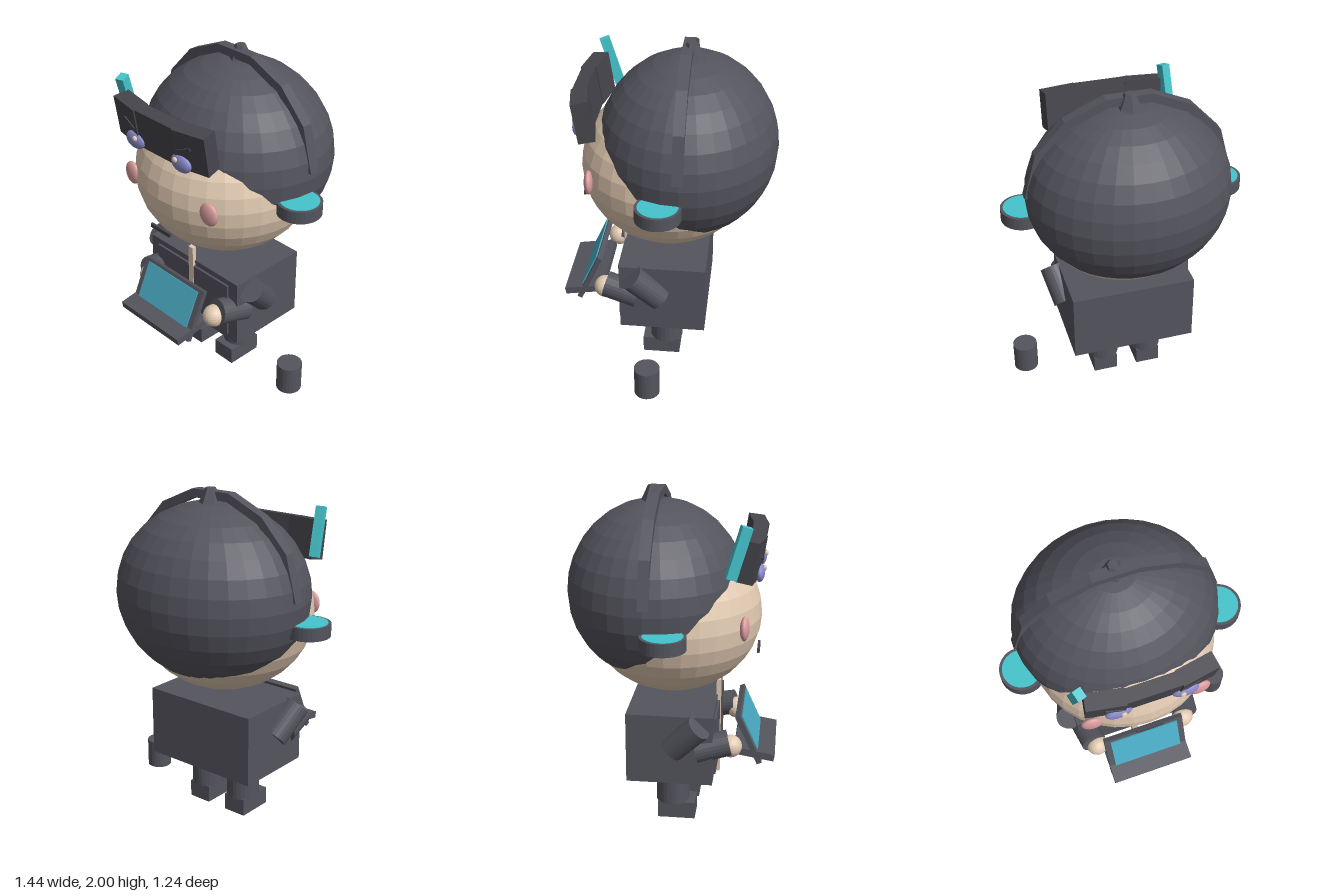
import * as THREE from 'three';

function material(name, color, flat = true) {
  const m = new THREE.MeshStandardMaterial({ color, flatShading: flat });
  m.name = name;
  return m;
}

export function createModel() {
  const root = new THREE.Group();
  root.name = 'figure';
  const dark = material('charcoal', 0x54545e);
  const visorDark = material('deep charcoal', 0x45454c);
  const skin = material('skin', 0xe2cab2);
  const pink = material('blush pink', 0xdc9e9f, false);
  const purple = material('eye violet', 0x8a8acb, false);
  const teal = material('teal', 0x45c4cc);
  const screenBlue = material('screen blue', 0x4aaac2);

  const add = (name, geo, mat, pos = [0, 0, 0], rot = [0, 0, 0], parent = root) => {
    const mesh = new THREE.Mesh(geo, mat);
    mesh.name = name;
    mesh.position.set(...pos);
    mesh.rotation.set(...rot);
    parent.add(mesh);
    return mesh;
  };
  const box = (x, y, z) => new THREE.BoxGeometry(x, y, z);
  const ball = (rx, ry, rz, w = 32, h = 16) => new THREE.SphereGeometry(1, w, h).scale(rx, ry, rz);
  // Cylinder spanning two points
  const rod = (name, a, b, r, mat) => {
    const p = new THREE.Vector3(...a), q = new THREE.Vector3(...b);
    const mesh = add(name, new THREE.CylinderGeometry(r, r, p.distanceTo(q), 24), mat);
    mesh.position.copy(p).add(q).multiplyScalar(0.5);
    mesh.quaternion.setFromUnitVectors(new THREE.Vector3(0, 1, 0), q.sub(p).normalize());
    return mesh;
  };
  const bothSides = (fn) => [-1, 1].forEach(fn);

  // Head and hair
  add('face', ball(0.535, 0.465, 0.515), skin, [0, 1.265, 0]);
  add('hair', ball(0.592, 0.522, 0.518), dark, [0, 1.4, -0.102]);
  add('mouth', box(0.16, 0.024, 0.015), visorDark, [0, 1.058, 0.502]);

  // Faceted headband over the crown
  const outer = [[0.6, 1.44], [0.53, 1.7], [0.36, 1.88], [0.13, 1.98]];
  const inner = outer.map(([x, y]) => [x * 0.92, 1.37 + (y - 1.37) * 0.92]);
  const mirror = (pts) => [...pts].reverse().map(([x, y]) => [-x, y]);
  const loop = [...outer, ...mirror(outer), ...inner.map(([x, y]) => [-x, y]), ...mirror(inner).map(([x, y]) => [-x, y])];
  // Outer arc runs right to left, inner arc returns left to right
  const bandShape = new THREE.Shape(loop.map(([x, y]) => new THREE.Vector2(x, y)));
  add('headband', new THREE.ExtrudeGeometry(bandShape, { depth: 0.062, bevelEnabled: false }), dark, [0, 0, -0.127]);
  add('crownStud', new THREE.CylinderGeometry(0.03, 0.08, 0.11, 6), dark, [0, 1.945, -0.12]);

  bothSides((s) => {
    // Ear pods: dark rim with teal faces
    add('earRim', new THREE.CylinderGeometry(0.128, 0.128, 0.074, 32), dark, [s * 0.592, 1.268, 0.008]);
    add('earFace', new THREE.CylinderGeometry(0.112, 0.112, 0.08, 32), teal, [s * 0.592, 1.268, 0.008]);
    add('cheek', ball(0.062, 0.07, 0.026, 24, 12), pink, [s * 0.32, 1.273, 0.43], [0, s * 0.1, 0]);
    add('eye', ball(0.075, 0.052, 0.028, 24, 12), purple, [s * 0.187, 1.562, 0.5]);
    add('eyeGlint', ball(0.017, 0.017, 0.012, 12, 8), skin, [s * 0.165, 1.583, 0.525]);
  });

  // Raised visor, tipped forward, with swept side panels
  const visor = new THREE.Group();
  visor.name = 'visor';
  visor.position.set(0, 1.652, 0.467);
  visor.rotation.x = 0.15;
  root.add(visor);
  add('visorCentre', box(0.33, 0.235, 0.08), visorDark, [0, 0, 0.005], [0, 0, 0], visor);
  bothSides((s) => {
    add('visorSide', box(0.215, 0.235, 0.095), visorDark, [s * 0.25, 0, -0.012], [0, s * 0.17, 0], visor);
    add('brow', box(0.1, 0.018, 0.012), visorDark, [s * 0.22, 0.01, 0.042], [0, s * 0.17, s * 0.35], visor);
  });
  add('visorFin', box(0.05, 0.295, 0.06), teal, [-0.378, 1.715, 0.39], [0.3, 0.28, -0.06]);

  // Torso
  add('torso', box(0.75, 0.425, 0.505), dark, [0, 0.5325, 0.013]);
  add('chestPanel', box(0.61, 0.35, 0.03), dark, [0, 0.535, 0.265]);
  add('zipper', box(0.038, 0.605, 0.026), skin, [0, 0.537, 0.271]);

  bothSides((s) => {
    // Arms and hands
    rod('upperArm', [s * 0.405, 0.7, 0.19], [s * 0.36, 0.535, 0.03], 0.077, dark);
    rod('forearm', [s * 0.33, 0.52, 0.16], [s * 0.302, 0.567, 0.355], 0.077, dark);
    add('hand', ball(0.066, 0.066, 0.066, 24, 14), skin, [s * 0.285, 0.537, 0.365]);
    // Legs and feet
    add('leg', new THREE.CylinderGeometry(0.1, 0.1, 0.215, 24), dark, [s * 0.14, 0.208, 0.01]);
    add('foot', box(0.148, 0.105, 0.225), dark, [s * 0.14, 0.0525, 0.037]);
  });

  // Open laptop held in front
  add('laptopBase', box(0.505, 0.042, 0.24), dark, [0, 0.475, 0.5], [0.16, 0, 0]);
  const lid = new THREE.Group();
  lid.name = 'laptopLid';
  lid.position.set(0, 0.562, 0.466);
  lid.rotation.x = -0.43;
  root.add(lid);
  add('lidPanel', box(0.505, 0.32, 0.03), dark, [0, 0, 0], [0, 0, 0], lid);
  add('screen', box(0.43, 0.23, 0.009), screenBlue, [0, 0.025, 0.018], [0, 0, 0], lid);

  // Loose cylinder beside the figure
  add('canister', new THREE.CylinderGeometry(0.075, 0.075, 0.178, 24), dark, [0.63, 0.131, 0.075]);

  return root;
}
